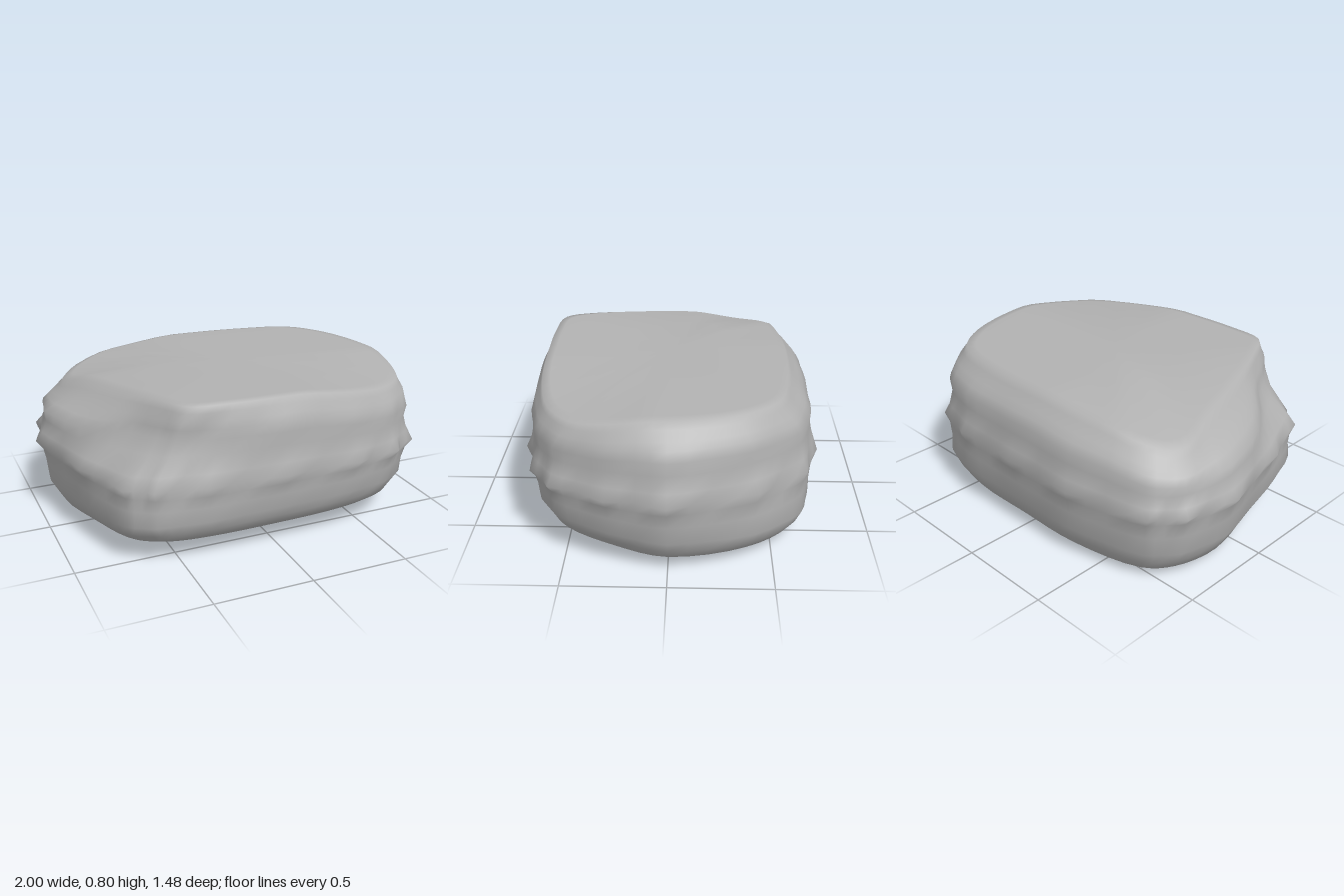
import * as THREE from 'three';

const { clamp } = THREE.MathUtils;
const KNOBS = 18;           // points of each outline
const SIDES = KNOBS * 4;

// Closed smooth outline in plan, sampled so that outlines correspond point by point
function outline(points) {
  const curve = new THREE.CatmullRomCurve3(points.map(([x, z]) => new THREE.Vector3(x, 0, z)), true);
  return Array.from({ length: SIDES }, (_, i) => curve.getPoint(i / SIDES));
}

// Widest outline, and the smaller outline of the flat top
const waist = outline([
  [1, 0], [0.93, 0.29], [0.8, 0.56], [0.65, 0.665], [0.4, 0.72], [0, 0.735],
  [-0.4, 0.72], [-0.65, 0.665], [-0.77, 0.57], [-0.89, 0.25], [-1, -0.2], [-0.94, -0.48],
  [-0.82, -0.62], [-0.4, -0.73], [0, -0.74], [0.4, -0.73], [0.64, -0.66], [0.85, -0.42],
]);
const top = outline([
  [0.83, 0], [0.82, 0.25], [0.75, 0.45], [0.6, 0.57], [0.35, 0.63], [0, 0.645],
  [-0.25, 0.645], [-0.46, 0.615], [-0.54, 0.48], [-0.63, 0.25], [-0.75, -0.15], [-0.8, -0.37],
  [-0.69, -0.5], [-0.38, -0.57], [0, -0.59], [0.35, -0.57], [0.6, -0.51], [0.75, -0.32],
]);

// Rings from the underside to the top:
// height, scale, blend from waist to top, depth of the dents between the knobs
const rings = [
  [0, 0, 0, 0], [0, 0.45, 0, 0], [0, 0.74, 0, 0], [0.012, 0.81, 0, 0], [0.05, 0.87, 0, 0],
  [0.1, 0.9, 0, 0.005], [0.17, 0.94, 0, 0.012], [0.27, 0.947, 0, 0.005], [0.35, 0.965, 0, 0.012],
  [0.41, 1, 0, 0.042], [0.47, 0.965, 0, 0.012], [0.55, 0.947, 0.03, 0.005], [0.62, 0.967, 0.1, 0.012],
  [0.665, 0.98, 0.35, 0.01], [0.7, 1, 0.62, 0.005], [0.74, 1, 0.88, 0], [0.772, 1, 1, 0],
  [0.778, 0.94, 1, 0], [0.775, 0.5, 1, 0], [0.775, 0, 1, 0],
];

// Point i of a ring
function ringPoint(i, [height, scale, blend, dent]) {
  // Strength of the back right and front left corners, fading to 0 at the sides
  const angle = Math.atan2(waist[i].z / 0.74, waist[i].x);
  const corner = Math.max(0, -Math.sin(2 * angle)) ** 2;

  // These corners are full near the ground; the front left one leans back at the top
  const full = 0.07 * corner * Math.min(1, height / 0.12) * Math.max(0, 1 - height / 0.41);
  const lean = waist[i].x < 0 ? 0.6 * corner * clamp((height - 0.45) / 0.17, 0, 1) : 0;
  const wave = 1 - dent * (0.5 - 0.5 * Math.cos(i / SIDES * KNOBS * Math.PI * 2));
  const p = waist[i].clone().lerp(top[i], blend + (1 - blend) * lean);
  p.multiplyScalar(scale * wave * (1 + full));

  // The underside rises to the front; the top falls to the left end and two of its corners
  const low = Math.max(0, 1 - height / 0.4);
  const high = Math.max(0, (height - 0.36) / 0.42);
  const slump = 0.08 * clamp((-p.x - 0.5) / 0.3, 0, 1.1) ** 1.5
    + 0.2 * clamp(p.x * p.z - 0.08, 0, 0.25);
  p.y = height + low * (0.017 + 0.07 * p.z + 0.08 * p.z * p.z + 0.012 * p.x)
    + high * (0.012 * p.z - 0.015 * p.x - slump);
  return p;
}

function createStoneGeometry() {
  const positions = [], indices = [];
  for (const ring of rings) {
    for (let i = 0; i < SIDES; i++) positions.push(...ringPoint(i, ring).toArray());
  }
  for (let r = 0; r < rings.length - 1; r++) {
    for (let i = 0; i < SIDES; i++) {
      const j = (i + 1) % SIDES;
      const a = r * SIDES + i, b = r * SIDES + j;
      indices.push(a, a + SIDES, b, b, a + SIDES, b + SIDES);
    }
  }
  const geometry = new THREE.BufferGeometry();
  geometry.setAttribute('position', new THREE.Float32BufferAttribute(positions, 3));
  geometry.setIndex(indices);
  geometry.computeBoundingBox();
  geometry.translate(0, -geometry.boundingBox.min.y, 0);
  geometry.computeVertexNormals();
  // The two caps meet in one point each
  const normals = geometry.attributes.normal;
  for (let i = 0; i < SIDES; i++) {
    normals.setXYZ(i, 0, -1, 0);
    normals.setXYZ((rings.length - 1) * SIDES + i, 0, 1, 0);
  }
  return geometry;
}

export function createModel() {
  const group = new THREE.Group();
  group.name = 'boulder';
  const stone = new THREE.MeshStandardMaterial({ color: 0xb2b2b2 });
  stone.name = 'grey stone';
  const rock = new THREE.Mesh(createStoneGeometry(), stone);
  rock.name = 'rock';
  group.add(rock);
  return group;
}
